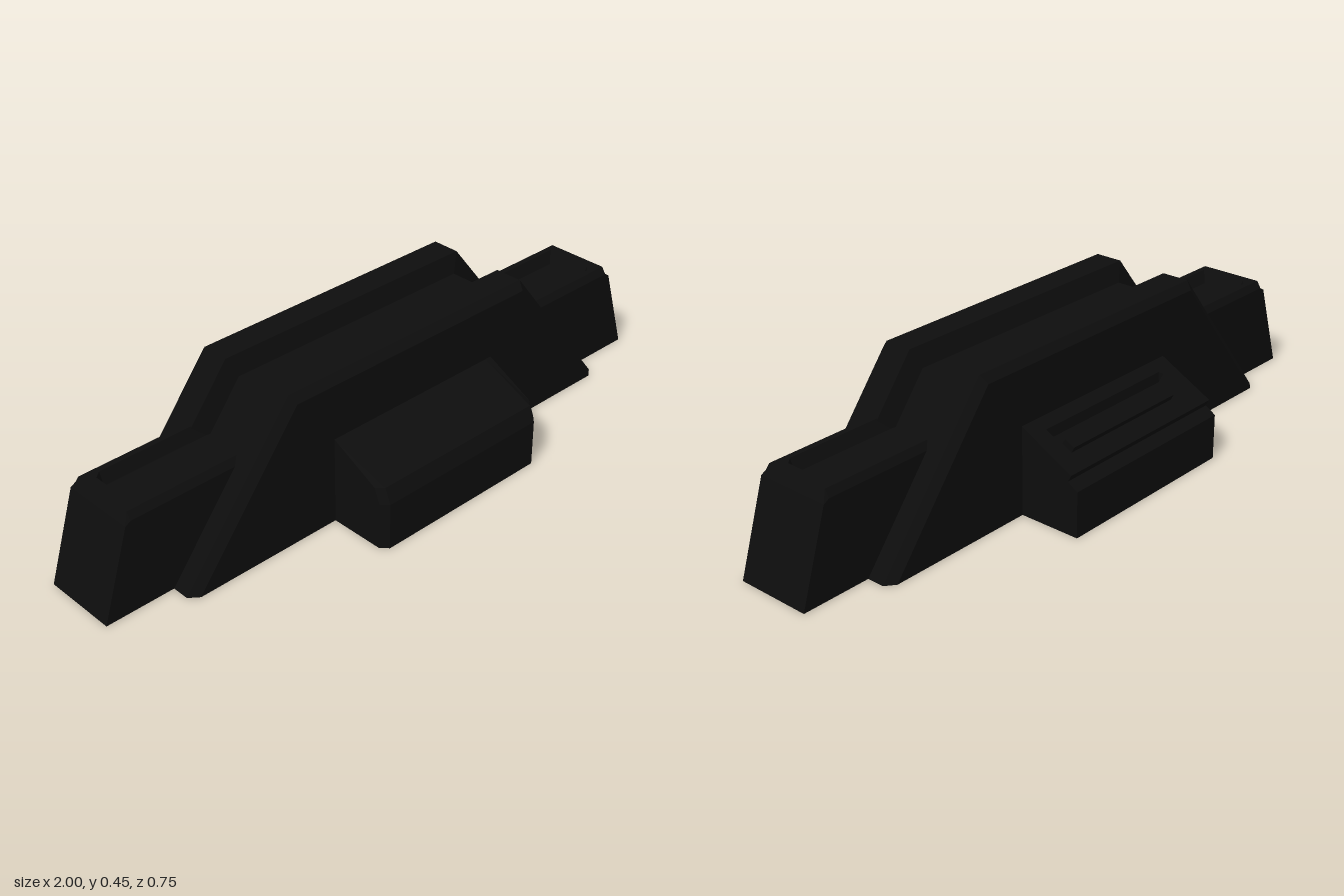
import * as THREE from 'three';

// Flat-shaded solid lofted along z through loops of [u, v] points: sections = [[z, loop], ...]
function loft(sections) {
  const area = THREE.ShapeUtils.area(sections[0][1].map(p => new THREE.Vector2(...p)));
  const rows = sections.map(([w, pts]) => (area < 0 ? [...pts].reverse() : pts).map(p => [p[0], p[1], w]));
  const pos = [];
  const n = rows[0].length;
  for (let s = 0; s < rows.length - 1; s++) {
    for (let i = 0; i < n; i++) {
      const j = (i + 1) % n;
      const a = rows[s][i], b = rows[s][j], c = rows[s + 1][j], d = rows[s + 1][i];
      pos.push(...a, ...b, ...c, ...a, ...c, ...d);
    }
  }
  // End caps
  for (const [row, last] of [[rows[0], false], [rows[rows.length - 1], true]]) {
    const tris = THREE.ShapeUtils.triangulateShape(row.map(p => new THREE.Vector2(p[0], p[1])), []);
    for (const [a, b, c] of tris) pos.push(...row[a], ...row[last ? b : c], ...row[last ? c : b]);
  }
  const g = new THREE.BufferGeometry();
  g.setAttribute('position', new THREE.Float32BufferAttribute(pos, 3));
  g.computeVertexNormals();
  return g;
}

// Mirrors a list of [distance, loop] sections, given from the outside in
const mirrored = list => [
  ...list.map(([w, p]) => [-w, p]),
  ...[...list].reverse(),
];

// Trapezoid of the main body, with the top and slopes moved inward by d
const bodyLoop = d => [
  [-0.79 + 1.28 * d, 0], [0.79 - 1.28 * d, 0],
  [0.435 - 0.48 * d, 0.447 - d], [-0.435 + 0.48 * d, 0.447 - d],
];

// Long bar with sloped ends; top height and recess depth vary
const barLoop = (top, d) => {
  const half = [[1, 0], [0.917, 0.262], [0.9, top], [0.87, top], [0.85, top - d]];
  return [...half, ...[...half].reverse().map(([x, y]) => [-x, y])];
};

// Front block profile, u = -z
const frontLoop = c => [
  [-0.15, 0], [-0.375 + c, 0], [-0.375 + c, 0.14], [-0.357 + c, 0.185],
  [-0.187, 0.262], [-0.15, 0.262],
];

// Back block profile with a notch below its lid and a slot of depth d in the lid, u = -z
const lidY = u => 0.262 - (u - 0.187) * 0.524;
const backLoop = d => [
  [0.15, 0], [0.375, 0], [0.375, 0.135], [0.343, 0.155], [0.354, 0.175],
  [0.33, lidY(0.33)], [0.322 - d * 0.3, lidY(0.322) - d],
  [0.232 - d * 0.3, lidY(0.232) - d], [0.222, lidY(0.222)],
  [0.187, 0.262], [0.15, 0.262],
];

export function createModel() {
  const group = new THREE.Group();
  const black = new THREE.MeshStandardMaterial({ color: 0x0d0d0d });
  black.name = 'black';
  const add = (name, geometry) => {
    const mesh = new THREE.Mesh(geometry, black);
    mesh.name = name;
    group.add(mesh);
    return mesh;
  };

  // Body with chamfered outer edges and a channel along the middle
  add('body', loft(mirrored([
    [0.187, bodyLoop(0.022)], [0.165, bodyLoop(0)],
    [0.08, bodyLoop(0)], [0.062, bodyLoop(0.057)],
  ])));

  // Bar through the body, recessed on top of both ends
  add('endBar', loft(mirrored([
    [0.113, barLoop(0.272, 0)], [0.1, barLoop(0.293, 0)],
    [0.082, barLoop(0.293, 0)], [0.065, barLoop(0.293, 0.035)],
  ])));

  // Side blocks
  add('frontBlock', loft(mirrored([
    [0.3, frontLoop(0.02)], [0.28, frontLoop(0)],
  ])).rotateY(Math.PI / 2));
  add('backBlock', loft(mirrored([
    [0.3, backLoop(0)], [0.245, backLoop(0)], [0.235, backLoop(0.025)],
  ])).rotateY(Math.PI / 2));

  // Rib inside the back slot
  const rib = add('slotRib', new THREE.BoxGeometry(0.43, 0.02, 0.035));
  rib.position.set(0, lidY(0.272) - 0.016, -0.272);
  rib.rotation.x = -Math.atan(0.524);

  return group;
}
